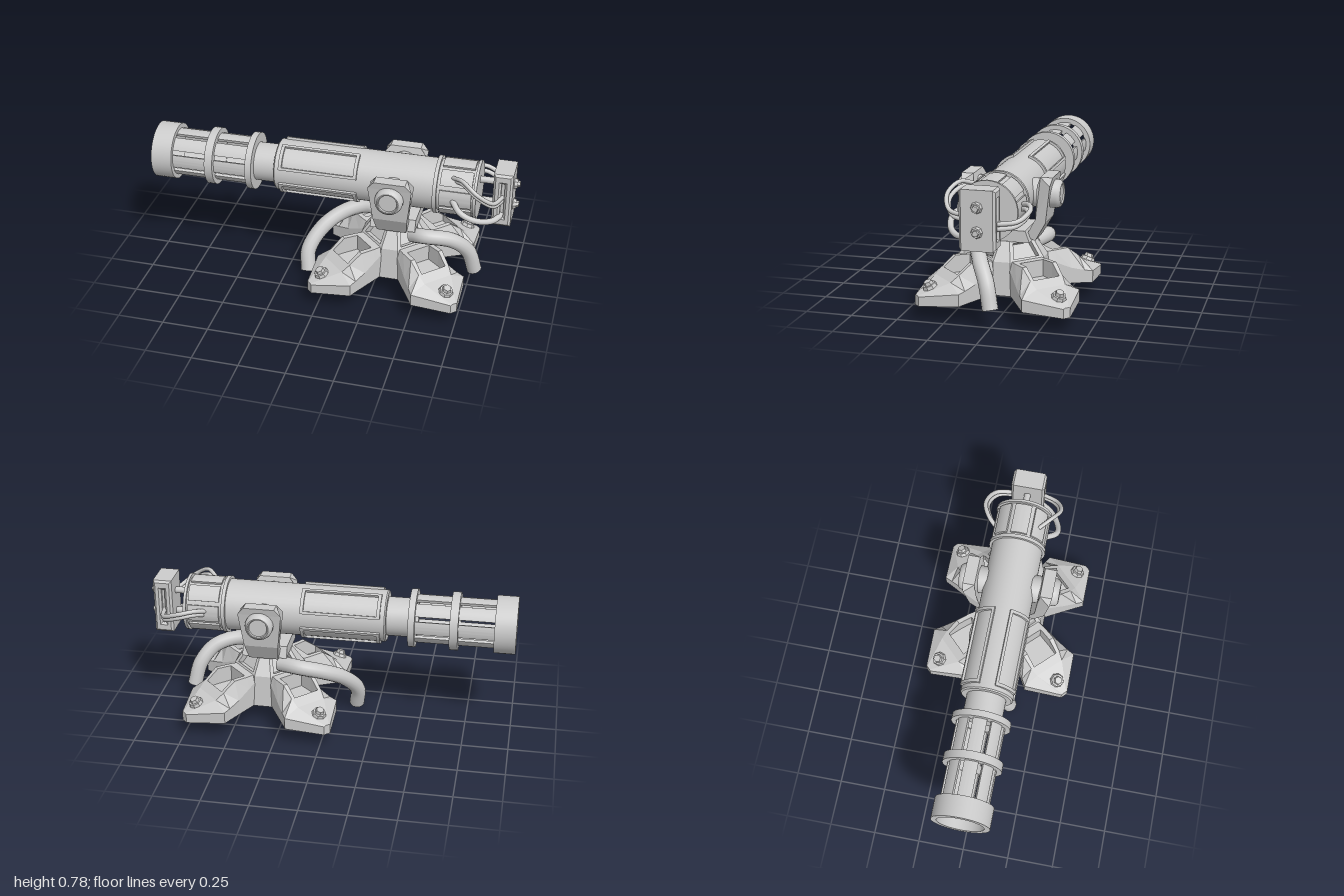
import * as THREE from 'three';
import { toCreasedNormals } from 'three/addons/utils/BufferGeometryUtils.js';

const AXIS_Y = 0.62, BASE_X = 0.35;
const mat = new THREE.MeshStandardMaterial({ color: 0xcccccc });
const flatMat = new THREE.MeshStandardMaterial({ color: 0xcccccc, flatShading: true });

function add(parent, name, geo, material = mat) {
  const m = new THREE.Mesh(geo, material);
  m.name = name;
  parent.add(m);
  return m;
}

function group(parent, name, x = 0, y = 0, z = 0) {
  const g = new THREE.Group();
  g.name = name;
  g.position.set(x, y, z);
  parent.add(g);
  return g;
}

// Turned part along y, from [radius, height] pairs
const turned = (pts, seg = 40) =>
  toCreasedNormals(new THREE.LatheGeometry(pts.map(p => new THREE.Vector2(...p)), seg), 0.6);

// Hollow collar along x
const collar = (x0, x1, rIn, rOut) =>
  turned([[rIn, x0], [rOut, x0], [rOut, x1], [rIn, x1], [rIn, x0]]).rotateZ(-Math.PI / 2);

// Curved plate around the x axis
function arcPlate(x0, x1, r0, r1, mid, half) {
  const s = new THREE.Shape();
  s.absarc(0, 0, r1, mid - half, mid + half, false);
  s.absarc(0, 0, r0, mid + half, mid - half, true);
  const g = new THREE.ExtrudeGeometry(s, { depth: x1 - x0, bevelEnabled: false, curveSegments: 6 });
  return toCreasedNormals(g.rotateY(Math.PI / 2).translate(x0, 0, 0), 0.6);
}

// Outline in z and y, extruded along x and centred
function slab(outline, width) {
  const s = new THREE.Shape(outline.map(p => new THREE.Vector2(...p)));
  return new THREE.ExtrudeGeometry(s, { depth: width, bevelEnabled: false })
    .translate(0, 0, -width / 2).rotateY(-Math.PI / 2);
}

// Flat-faced geometry gathered from quads of [x, y, z] corners
const quad = (out, a, b, c, d) => out.push(...a, ...b, ...c, ...a, ...c, ...d);
function facets(out) {
  const g = new THREE.BufferGeometry();
  g.setAttribute('position', new THREE.Float32BufferAttribute(out, 3));
  g.computeVertexNormals();
  return g;
}

// Quad with a sunken window
function windowQuad(out, corners, inset, depth) {
  const v = corners.map(p => new THREE.Vector3(...p));
  const mid = v.reduce((s, p) => s.add(p), new THREE.Vector3()).multiplyScalar(0.25);
  const n = v[1].clone().sub(v[0]).cross(v[2].clone().sub(v[0])).normalize();
  const rim = v.map(p => p.clone().lerp(mid, inset));
  const floor = rim.map(p => p.clone().addScaledVector(n, -depth));
  for (let i = 0; i < 4; i++) {
    const j = (i + 1) % 4;
    quad(out, v[i], v[j], rim[j], rim[i]);
    quad(out, rim[i], rim[j], floor[j], floor[i]);
  }
  quad(out, ...floor);
}

// Round cable with closed ends
function cable(parent, name, pts, r) {
  const curve = new THREE.CatmullRomCurve3(pts.map(p => new THREE.Vector3(...p)));
  const g = group(parent, name);
  add(g, name + 'Tube', new THREE.TubeGeometry(curve, 32, r, 14));
  for (const t of [0, 1]) {
    const cap = add(g, name + 'End', new THREE.CircleGeometry(r, 14));
    const p = curve.getPoint(t);
    cap.position.copy(p);
    cap.lookAt(p.clone().addScaledVector(curve.getTangent(t), t ? 1 : -1));
  }
}

function bolt(parent, name, r) {
  const g = group(parent, name);
  add(g, 'boltWasher', new THREE.CylinderGeometry(r * 0.8, r, r * 0.6, 8).translate(0, r * 0.3, 0), flatMat);
  add(g, 'boltHead', new THREE.CylinderGeometry(r * 0.5, r * 0.6, r * 0.45, 6).translate(0, r * 0.8, 0), flatMat);
  return g;
}

// Leg sections: [distance, half width, bottom, wall top, deck half width, deck, pocket half width, pocket floor]
const LEG = [
  [0.08, 0.09, 0.108, 0.25, 0.08, 0.285, 0.06, 0.285],
  [0.177, 0.106, 0.108, 0.24, 0.09, 0.287, 0.07, 0.287],
  [0.21, 0.115, 0.107, 0.225, 0.095, 0.289, 0.07, 0.289],
  [0.21, 0.115, 0.107, 0.225, 0.095, 0.289, 0.07, 0.2],
  [0.29, 0.137, 0.104, 0.19, 0.1, 0.293, 0.075, 0.2],
  [0.36, 0.157, 0.102, 0.172, 0.095, 0.24, 0.075, 0.2],
  [0.36, 0.157, 0.102, 0.172, 0.095, 0.24, 0.075, 0.24],
  [0.403, 0.17, 0.1, 0.165, 0.085, 0.205, 0.07, 0.205],
  [0.555, 0.02, 0.085, 0.135, 0.012, 0.14, 0.008, 0.14],
];
function legGeometry() {
  const out = [];
  const rings = LEG.map(([d, wb, yb, y1, wt, y2, wr, yr]) => [
    [d, y2, -wt], [d, y2, -wr], [d, yr, -wr], [d, yr, wr], [d, y2, wr],
    [d, y2, wt], [d, y1, wb], [d, yb, wb], [d, yb, -wb], [d, y1, -wb]]);
  for (let i = 0; i + 1 < rings.length; i++)
    for (let j = 0; j < 10; j++) {
      const k = (j + 1) % 10;
      quad(out, rings[i][j], rings[i][k], rings[i + 1][k], rings[i + 1][j]);
    }
  const end = rings[rings.length - 1];
  quad(out, end[0], end[5], end[6], end[9]);
  quad(out, end[9], end[6], end[7], end[8]);
  return facets(out);
}

function buildBase(root) {
  const base = group(root, 'base', BASE_X);
  const geo = legGeometry();
  for (let i = 0; i < 4; i++) {
    const leg = group(base, 'leg');
    leg.rotation.y = Math.PI / 4 + i * Math.PI / 2;
    add(leg, 'legShell', geo, flatMat);
    const b = bolt(leg, 'footBolt', 0.043);
    b.position.set(0.475, 0.165, 0);
    b.rotation.z = -0.42;
  }
  // Eight-sided hub and windowed pedestal
  const oct = (a, b, y) => [[b, a], [a, b], [-a, b], [-b, a], [-b, -a], [-a, -b], [a, -b], [b, -a]].map(([x, z]) => [x, y, z]);
  const lo = oct(0.05, 0.2, 0.107), mid = oct(0.045, 0.188, 0.285), top = oct(0.025, 0.125, 0.38);
  const hub = [], ped = [];
  for (let i = 0; i < 8; i++) {
    const j = (i + 1) % 8;
    quad(hub, lo[i], mid[i], mid[j], lo[j]);
    if (i % 2) quad(ped, mid[i], top[i], top[j], mid[j]);
    else windowQuad(ped, [mid[i], top[i], top[j], mid[j]], 0.25, 0.03);
    hub.push(0, 0.107, 0, ...lo[i], ...lo[j]);
    ped.push(0, 0.38, 0, ...top[j], ...top[i]);
  }
  add(base, 'hub', facets(hub), flatMat);
  add(base, 'pedestal', facets(ped), flatMat);
}

function buildYoke(root) {
  const yoke = group(root, 'yoke', BASE_X);
  add(yoke, 'yokeBlock', slab([[-0.13, 0.378], [0.13, 0.378], [0.108, 0.44], [-0.108, 0.44]], 0.245), flatMat);
  // Arm plate, its width set by height
  const arm = slab([[0.15, 0.38], [0.207, 0.48], [0.235, 0.68], [0.243, 0.72],
    [0.178, 0.72], [0.168, 0.68], [0.155, 0.5], [0.1, 0.4]], 2);
  const p = arm.attributes.position;
  for (let i = 0; i < p.count; i++) {
    const y = p.getY(i);
    const half = y > 0.68 ? 0.117 - (y - 0.68) * 0.85 : 0.08 + (y - 0.38) * 0.123;
    p.setX(i, p.getX(i) * half);
  }
  const pivot = turned([[0, 0.12], [0.075, 0.12], [0.075, 0.25], [0.07, 0.265], [0.058, 0.275],
    [0.052, 0.275], [0.048, 0.268], [0, 0.268]], 28).rotateX(Math.PI / 2).translate(0, AXIS_Y, 0);
  for (const turn of [0, Math.PI]) {
    const side = group(yoke, 'yokeSide');
    side.rotation.y = turn;
    add(side, 'yokeArm', arm, flatMat);
    add(side, 'pivot', pivot);
  }
}

function buildBarrel(root) {
  const barrel = group(root, 'barrel', 0, AXIS_Y);
  add(barrel, 'barrelBody', turned([[0, -0.43], [0.105, -0.43], [0.105, -0.31], [0.133, -0.31], [0.14, -0.303],
    [0.14, 0.56], [0.155, 0.56], [0.155, 0.58], [0.138, 0.58], [0.138, 0.775], [0.155, 0.775],
    [0.155, 0.79], [0, 0.79]]).rotateZ(-Math.PI / 2));
  add(barrel, 'muzzle', collar(-1, -0.885, 0.125, 0.155));
  add(barrel, 'middleCollar', collar(-0.695, -0.65, 0.11, 0.157));
  add(barrel, 'innerCollar', collar(-0.465, -0.43, 0.1, 0.157));
  for (let i = 0; i < 8; i++) {
    const a = i * Math.PI / 4;
    add(barrel, 'stave', arcPlate(-0.9, -0.44, 0.113, 0.13, a, 0.29));
    add(barrel, 'rearPlate', arcPlate(0.595, 0.765, 0.13, 0.15, a, 0.31));
  }
  // Four raised panel frames
  for (let i = 0; i < 4; i++) {
    const a = Math.PI / 4 + i * Math.PI / 2, f = group(barrel, 'sidePanel');
    for (const s of [-1, 1]) add(f, 'panelRail', arcPlate(-0.28, 0.15, 0.13, 0.153, a + s * 0.45, 0.05));
    for (const x of [-0.28, 0.132]) add(f, 'panelEnd', arcPlate(x, x + 0.018, 0.13, 0.153, a, 0.42));
  }
}

function buildRearBox(root) {
  const rear = group(root, 'rearBox');
  const rect = (T, x0, x1, y0, y1) => new T([[x0, y0], [x1, y0], [x1, y1], [x0, y1]].map(p => new THREE.Vector2(...p)));
  const s = rect(THREE.Shape, 0.88, 0.958, 0.477, 0.757);
  s.holes.push(rect(THREE.Path, 0.898, 0.94, 0.507, 0.727));
  add(rear, 'boxFrame', new THREE.ExtrudeGeometry(s, { depth: 0.16, bevelSize: 0.012, bevelThickness: 0.012, bevelSegments: 1 })
    .translate(0, 0, -0.08), flatMat);
  add(rear, 'boxCore', new THREE.BoxGeometry(0.08, 0.26, 0.13).translate(0.919, 0.617, 0), flatMat);
  for (const y of [0.56, 0.682]) {
    add(rear, 'boxRod', new THREE.CylinderGeometry(0.018, 0.018, 0.12, 16).rotateZ(Math.PI / 2).translate(0.83, y, 0));
    const b = bolt(rear, 'boxBolt', 0.031);
    b.position.set(0.968, y, 0);
    b.rotation.z = -Math.PI / 2;
  }
  // Cables between barrel and box
  const upper = [[0.66, 0.725, 0.1], [0.72, 0.745, 0.16], [0.8, 0.7, 0.2], [0.88, 0.64, 0.165], [0.92, 0.625, 0.06]];
  const far = [[0.66, 0.63, -0.13], [0.72, 0.65, -0.19], [0.8, 0.64, -0.22], [0.89, 0.605, -0.18], [0.92, 0.59, -0.06]];
  for (const k of [0, 1]) {
    cable(rear, 'upperCable', upper.map(([x, y, z]) => [x, y - k * 0.024, z - k * 0.012]), 0.011);
    cable(rear, 'farCable', far.map(([x, y, z]) => [x, y - k * 0.026, z + k * 0.012]), 0.012);
  }
  cable(rear, 'lowerCable', [[0.66, 0.615, 0.13], [0.72, 0.575, 0.195], [0.8, 0.535, 0.185], [0.88, 0.515, 0.13], [0.92, 0.52, 0.06]], 0.016);
}

export function createModel() {
  const root = new THREE.Group();
  root.name = 'mountedCannon';
  buildBase(root);
  buildYoke(root);
  buildBarrel(root);
  buildRearBox(root);
  // Heavy hoses from the pedestal
  cable(root, 'frontHose', [[0.45, 0.33, 0.08], [0.53, 0.355, 0.12], [0.67, 0.325, 0.075], [0.75, 0.235, 0.02], [0.785, 0.107, -0.01]], 0.041);
  cable(root, 'backHose', [[0.27, 0.33, -0.1], [0.15, 0.338, -0.145], [0.03, 0.305, -0.11], [-0.075, 0.235, -0.03], [-0.138, 0.125, 0.055], [-0.13, 0.016, 0.095]], 0.042);
  return root;
}
